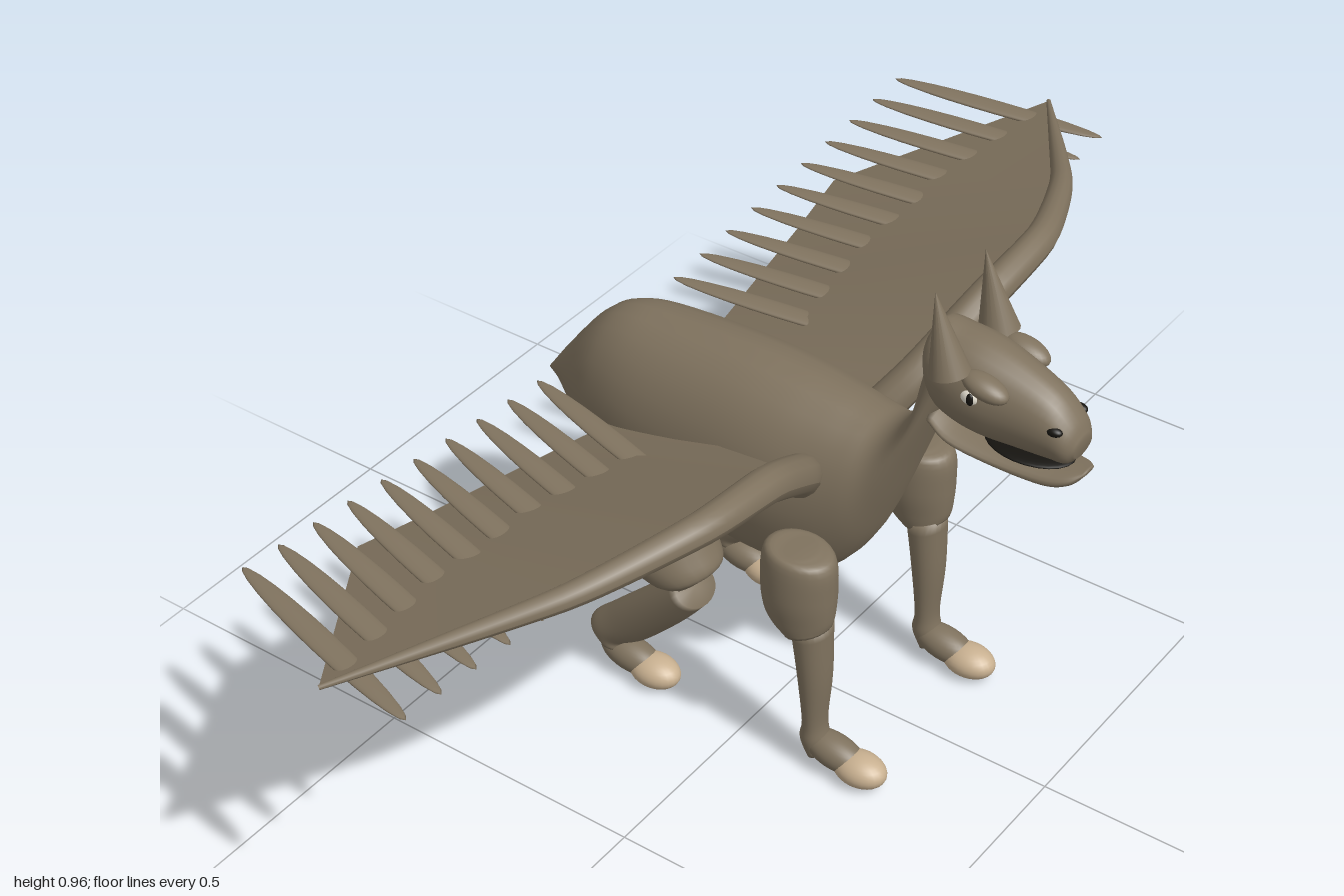
import * as THREE from 'three';

const mat = (name, color, side = THREE.FrontSide) => {
  const m = new THREE.MeshStandardMaterial({ color, side });
  m.name = name;
  return m;
};

// Smooth skin through stations [x1, y1, x2, y2, halfWidth]: each ring spans two outline points.
// Outline point 1 is the upper edge (bodies, read back to front) or the front edge (legs, read downwards).
function loft(stations, sub = 5, sides = 24) {
  const pick = (a, b) => new THREE.CatmullRomCurve3(
    stations.map(s => new THREE.Vector3(s[a], s[a + 1], b ? s[4] : 0)), false, 'catmullrom', 0.5);
  const one = pick(0, true), two = pick(2, false), n = (stations.length - 1) * sub;
  const rings = [];
  for (let i = 0; i <= n; i++) {
    const p = one.getPoint(i / n), q = two.getPoint(i / n);
    rings.push({ cx: (p.x + q.x) / 2, cy: (p.y + q.y) / 2, hx: (p.x - q.x) / 2, hy: (p.y - q.y) / 2, w: p.z });
  }
  // close both ends
  const closed = r => ({ ...r, hx: 0, hy: 0, w: 0 });
  rings.unshift(closed(rings[0]));
  rings.push(closed(rings[rings.length - 1]));
  const pos = [], idx = [];
  rings.forEach((r, i) => {
    for (let j = 0; j < sides; j++) {
      const a = j / sides * Math.PI * 2, k = (j + 1) % sides;
      pos.push(r.cx + r.hx * Math.cos(a), r.cy + r.hy * Math.cos(a), r.w * Math.sin(a));
      if (i < rings.length - 1) {
        const A = i * sides + j, B = i * sides + k, C = A + sides, D = B + sides;
        idx.push(A, B, C, B, D, C);
      }
    }
  });
  return surface(pos, idx);
}

function surface(pos, idx) {
  const g = new THREE.BufferGeometry();
  g.setAttribute('position', new THREE.Float32BufferAttribute(pos, 3));
  g.setIndex(idx);
  g.computeVertexNormals();
  return g;
}

// Tube whose radius follows a list of values along its length
function taperedTube(points, radii) {
  const n = 40, sides = 14;
  const curve = new THREE.CatmullRomCurve3(points, false, 'catmullrom', 0.3);
  const g = new THREE.TubeGeometry(curve, n, 1, sides);
  const p = g.attributes.position, v = new THREE.Vector3();
  for (let i = 0; i <= n; i++) {
    const c = curve.getPointAt(i / n), f = i / n * (radii.length - 1);
    const k = Math.min(Math.floor(f), radii.length - 2);
    const r = THREE.MathUtils.lerp(radii[k], radii[k + 1], f - k);
    for (let j = 0; j <= sides; j++) {
      const id = i * (sides + 1) + j;
      v.fromBufferAttribute(p, id).sub(c).multiplyScalar(r).add(c);
      p.setXYZ(id, v.x, v.y, v.z);
    }
  }
  g.computeVertexNormals();
  return g;
}

export function createModel() {
  const hide = mat('taupe hide', 0x7f725e), skin = mat('taupe wing skin', 0x7f725e, THREE.DoubleSide);
  skin.color = hide.color;
  const horn = mat('tan hoof', 0xc8b090), dark = mat('near black', 0x15130f), white = mat('eye white', 0xe6e0d2);
  const model = new THREE.Group();
  const add = (parent, name, geo, m, x = 0, y = 0, z = 0) => {
    const mesh = new THREE.Mesh(geo, m);
    mesh.name = name;
    mesh.position.set(x, y, z);
    parent.add(mesh);
    return mesh;
  };
  const ball = new THREE.SphereGeometry(1, 24, 16);
  const blob = (parent, name, m, c, r, tilt = 0) => {
    const b = add(parent, name, ball, m, ...c);
    b.scale.set(...r);
    b.rotation.z = tilt;
    return b;
  };

  // Body from tail point to the top of the neck
  add(model, 'bodyAndNeck', loft([
    [-.53, .443, -.53, .437, .004], [-.47, .525, -.49, .425, .04], [-.40, .61, -.44, .38, .08],
    [-.34, .645, -.38, .345, .108], [-.25, .655, -.28, .315, .13], [-.1, .66, -.1, .285, .14],
    [0, .655, 0, .28, .14], [.08, .645, .085, .30, .128], [.14, .635, .145, .37, .11],
    [.18, .633, .19, .47, .085], [.212, .652, .234, .585, .068], [.235, .69, .272, .68, .058],
    [.246, .75, .30, .74, .052], [.255, .80, .32, .80, .05]]), hide);

  // Head, jaw and mouth
  add(model, 'head', loft([
    [.252, .835, .252, .76, .03], [.27, .865, .275, .715, .055], [.31, .862, .31, .70, .068],
    [.36, .856, .36, .69, .07], [.42, .838, .42, .69, .06], [.48, .81, .48, .692, .05],
    [.515, .775, .51, .695, .042], [.53, .745, .525, .71, .025]]), hide);
  add(model, 'lowerJaw', loft([
    [.275, .715, .275, .685, .05], [.32, .695, .32, .668, .06], [.4, .685, .4, .655, .055],
    [.48, .685, .48, .649, .047], [.52, .688, .52, .66, .035], [.54, .69, .54, .682, .015]]), hide);
  blob(model, 'mouth', dark, [.435, .69, 0], [.078, .007, .05]);

  // Paired parts, built on the +z side and mirrored
  for (const s of [1, -1]) {
    const half = new THREE.Group();
    half.name = s > 0 ? 'nearSide' : 'farSide';
    half.scale.z = s;
    model.add(half);

    // Face details
    const ear = add(half, 'ear', new THREE.ConeGeometry(.034, .14, 20), hide, .312, .893, .07);
    ear.rotation.z = .22;
    blob(half, 'brow', hide, [.385, .815, .06], [.042, .018, .024], -.25);
    blob(half, 'eye', white, [.36, .788, .062], [.017, .014, .011]);
    blob(half, 'pupil', dark, [.364, .788, .069], [.007, .011, .005]);
    blob(half, 'nostril', dark, [.495, .765, .037], [.015, .008, .01]);

    // Front leg
    add(half, 'shoulder', loft([
      [.15, .455, .1, .455, .03], [.185, .44, .06, .45, .05], [.188, .38, .055, .37, .056],
      [.185, .33, .065, .32, .05], [.18, .31, .1, .285, .043]]), hide, 0, 0, .175);
    add(half, 'frontLeg', loft([
      [.178, .315, .11, .30, .04], [.178, .2, .122, .2, .034], [.17, .1, .13, .1, .026],
      [.175, .06, .125, .06, .027], [.17, .03, .14, .02, .02]]), hide, 0, 0, .17);
    blob(half, 'frontFoot', hide, [.19, .043, .168], [.062, .029, .032], -.2);
    blob(half, 'frontHoof', horn, [.24, .03, .168], [.05, .029, .036]);

    // Hind leg
    add(half, 'thigh', loft([
      [-.2, .485, -.27, .485, .03], [-.14, .46, -.35, .44, .07], [-.11, .40, -.33, .37, .085],
      [-.08, .34, -.27, .31, .085], [-.065, .305, -.19, .265, .07], [-.08, .285, -.14, .255, .05]]), hide, 0, 0, .155);
    blob(half, 'hip', hide, [-.29, .445, .165], [.06, .04, .06], .2);
    add(half, 'hindLeg', loft([
      [-.07, .24, -.12, .29, .045], [-.12, .18, -.2, .215, .04], [-.2, .10, -.275, .145, .035],
      [-.245, .07, -.318, .1, .033], [-.25, .055, -.3, .065, .028]]), hide, 0, 0, .17);
    blob(half, 'hindFoot', hide, [-.24, .042, .168], [.064, .029, .032], -.15);
    blob(half, 'hindHoof', horn, [-.19, .03, .168], [.05, .029, .036]);

    // Wing bone along the leading edge
    const lead = [[.07, .525, .1], [.12, .60, .17], [.158, .685, .31], [.158, .71, .48], [.07, .68, .69], [-.14, .62, .995]]
      .map(p => new THREE.Vector3(...p));
    add(half, 'wingBone', taperedTube(lead, [.034, .032, .028, .022, .014, .004]), hide);
    blob(half, 'wingRoot', hide, [.07, .525, .1], [.034, .034, .034]);

    // Wing skin stretched from the bone to the trailing edge
    const trail = [[-.3, .48, .08], [-.32, .49, .2], [-.34, .505, .35], [-.36, .52, .5], [-.385, .535, .65], [-.14, .62, .995]];
    const pos = [], idx = [];
    lead.forEach((p, i) => {
      pos.push(p.x, p.y, p.z, ...trail[i]);
      if (i < 5) idx.push(2 * i, 2 * i + 1, 2 * i + 2, 2 * i + 1, 2 * i + 3, 2 * i + 2);
    });
    add(half, 'wingSkin', surface(pos, idx), skin);

    // Feathers in a row towards the tip
    for (let i = 0; i < 10; i++) {
      const f = blob(half, 'feather', hide, [-.203, .555 + i * .0073, .23 + i * .0765], [.204, .007, .021]);
      f.rotation.set(0, -.22, -.08);
    }
  }
  return model;
}
